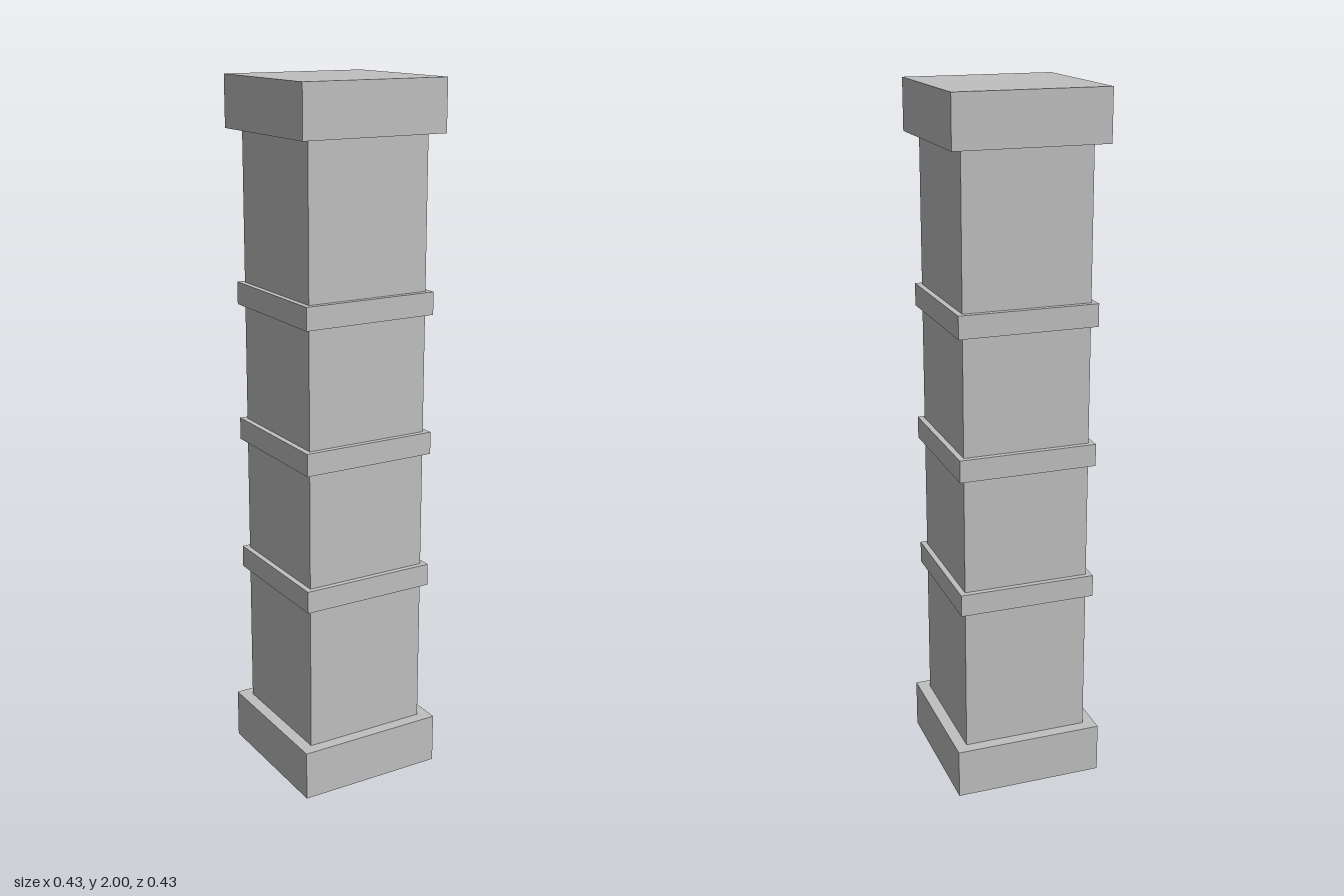
import * as THREE from 'three';

export function createModel() {
  const model = new THREE.Group();
  model.name = 'squarePillar';

  const stone = new THREE.MeshStandardMaterial({ color: 0xc0c0c0 });
  stone.name = 'grey stone';

  // Square block centred on the pillar's axis
  function block(name, width, height, centreY) {
    const mesh = new THREE.Mesh(new THREE.BoxGeometry(width, height, width), stone);
    mesh.name = name;
    mesh.position.y = centreY;
    model.add(mesh);
  }

  const total = 2, endWidth = 0.434, endHeight = 0.144;

  // Plinth and capital
  block('base', endWidth, endHeight, endHeight / 2);
  block('capital', endWidth, endHeight, total - endHeight / 2);

  // Shaft between them
  block('shaft', 0.365, total - 2 * endHeight, total / 2);

  // Raised bands around the shaft
  ['lowerBand', 'middleBand', 'upperBand'].forEach((name, i) => {
    block(name, 0.397, 0.064, 0.6 + 0.4 * i);
  });

  return model;
}
